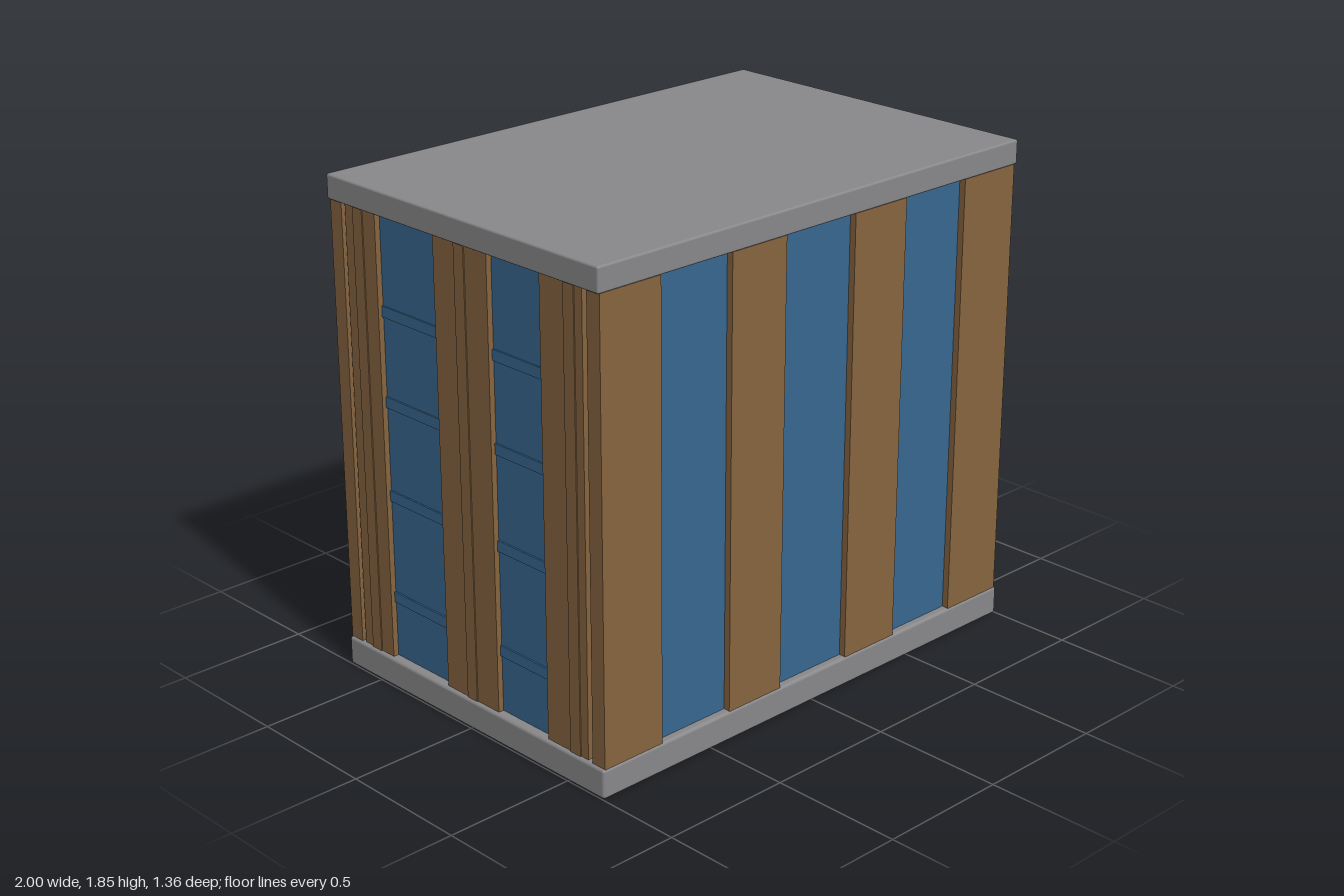
import * as THREE from 'three';
import { RoundedBoxGeometry } from 'three/addons/geometries/RoundedBoxGeometry.js';

const material = (name, color) => {
  const m = new THREE.MeshStandardMaterial({ color });
  m.name = name;
  return m;
};

export function createModel() {
  const concrete = material('concrete grey', 0x88888a);
  const cladding = material('brown cladding', 0x85643f);
  const glass = material('blue glass', 0x38678f);

  const building = new THREE.Group();
  building.name = 'building';

  const X = 0.99, Z = 0.675;        // outer wall planes
  const LOW = 0.105, HIGH = 1.76;   // wall bottom and top
  const RECESS = 0.025, DEPTH = 0.06;

  const add = (parent, name, geometry, mat, x, y, z) => {
    const mesh = new THREE.Mesh(geometry, mat);
    mesh.name = name;
    mesh.position.set(x, y, z);
    parent.add(mesh);
    return mesh;
  };
  // box given by its limits
  const block = (parent, name, mat, x0, x1, y0, y1, z0, z1) =>
    add(parent, name, new THREE.BoxGeometry(x1 - x0, y1 - y0, z1 - z0), mat,
      (x0 + x1) / 2, (y0 + y1) / 2, (z0 + z1) / 2);

  // base and roof slabs
  add(building, 'baseSlab', new RoundedBoxGeometry(2, 0.11, 1.36, 2, 0.012), concrete, 0, 0.055, 0);
  add(building, 'roofSlab', new RoundedBoxGeometry(2, 0.09, 1.36, 2, 0.008), concrete, 0, 1.805, 0);

  // glass core behind the piers
  block(building, 'glassCore', glass, -X + RECESS, X - RECESS, LOW, HIGH - 0.005, -Z + RECESS, Z - RECESS);

  // long facades: three windows between four piers
  const longPiers = [[-X, -0.73], [-0.415, -0.165], [0.165, 0.42], [0.725, X]];
  for (const side of [1, -1]) {
    const facade = new THREE.Group();
    facade.name = side > 0 ? 'frontFacade' : 'backFacade';
    for (const [a, b] of longPiers) {
      const z = [side * (Z - DEPTH), side * Z].sort((p, q) => p - q);
      block(facade, 'pier', cladding, a, b, LOW, HIGH, z[0], z[1]);
    }
    building.add(facade);
  }

  // short facades: two windows between three piers, with fine floor ledges
  const shortPiers = [[-0.60, -0.44], [-0.135, 0.135], [0.39, 0.59]];
  const shortWindows = [[-0.44, -0.135], [0.135, 0.39]];
  for (const side of [1, -1]) {
    const facade = new THREE.Group();
    facade.name = side > 0 ? 'leftFacade' : 'rightFacade';
    const strip = (name, mat, inner, outer, y0, y1, z0, z1) => {
      const x = [side * inner, side * outer].sort((p, q) => p - q);
      block(facade, name, mat, x[0], x[1], y0, y1, z0, z1);
    };
    for (const [a, b] of shortPiers) strip('pier', cladding, X - DEPTH, X - 0.004, LOW, HIGH, a, b);
    // raised edge battens on the piers
    for (const z of [-0.53, 0.0, 0.53]) strip('batten', cladding, X - 0.01, X, LOW, HIGH, z - 0.025, z + 0.025);
    for (const [a, b] of shortWindows)
      for (const y of [0.34, 0.73, 1.08, 1.41])
        strip('floorLedge', glass, X - RECESS - 0.005, X - RECESS + 0.006, y - 0.02, y + 0.02, a, b);
    building.add(facade);
  }
  return building;
}
